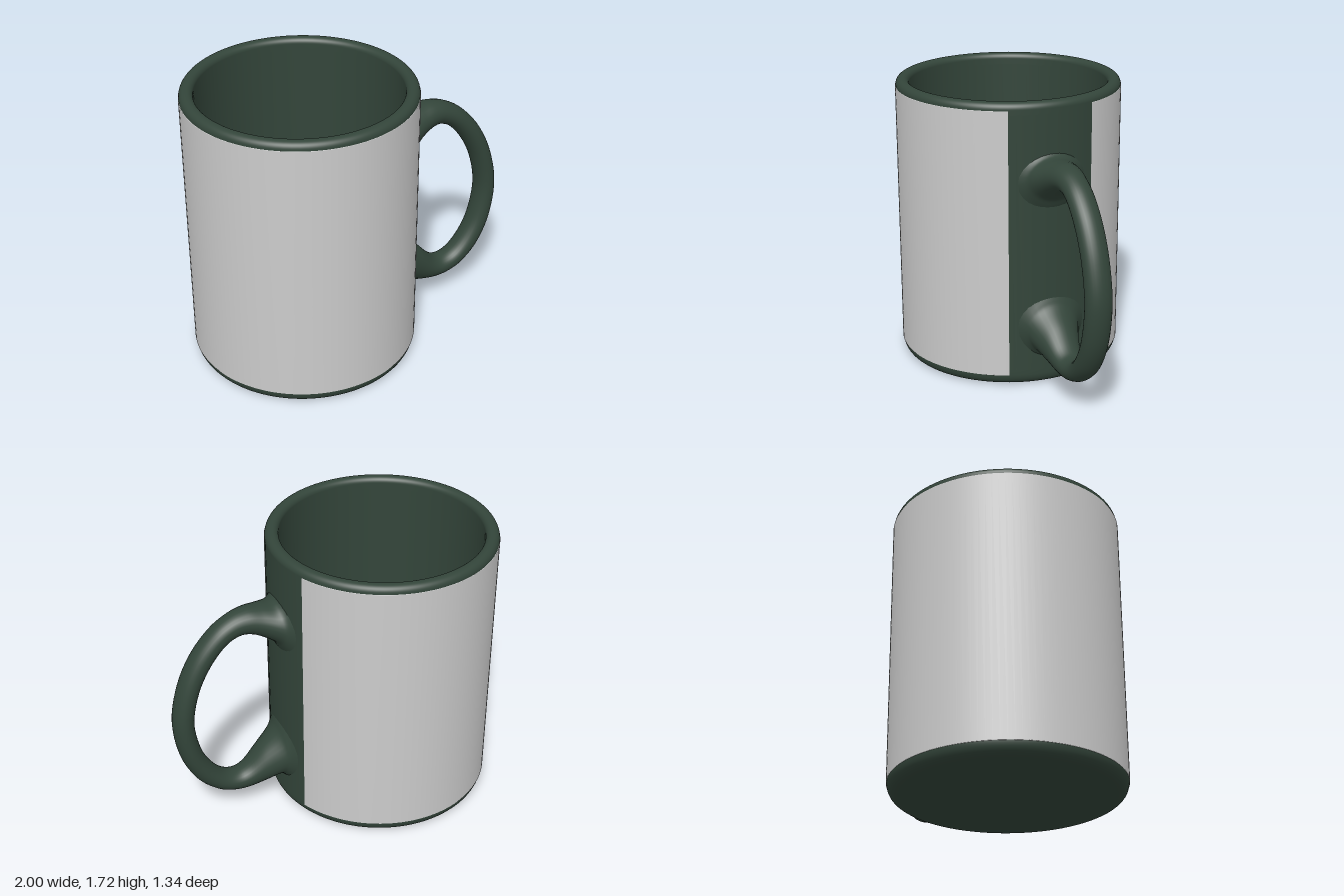
import * as THREE from 'three';

const CX = -0.33, R = 0.667, H = 1.715, RI = 0.588;
const green = new THREE.MeshStandardMaterial({ color: 0x33453a, roughness: 0.6 });
const grey = new THREE.MeshStandardMaterial({ color: 0xcccccc, side: THREE.DoubleSide });

// Hollow cup: underside, outer wall, rounded rim, inner wall, floor
function makeBody() {
  const p = new THREE.Path();
  p.moveTo(0, 0.005);
  p.lineTo(0.55, 0.005);
  p.lineTo(0.6, 0);
  p.quadraticCurveTo(R - 0.005, 0.003, R, 0.07);
  p.lineTo(R, 0.1);
  p.lineTo(R, H - 0.07);
  p.absarc(R - 0.04, H - 0.04, 0.04, 0, Math.PI / 2, false);
  p.absarc(RI + 0.035, H - 0.035, 0.035, Math.PI / 2, Math.PI, false);
  p.lineTo(RI, H - 0.07);
  p.lineTo(RI, 0.14);
  p.absarc(RI - 0.04, 0.12, 0.04, 0, -Math.PI / 2, true);
  p.lineTo(0.5, 0.08);
  p.lineTo(0, 0.08);
  const mesh = new THREE.Mesh(new THREE.LatheGeometry(p.getPoints(8), 96), green);
  mesh.name = 'cupBody';
  mesh.position.x = CX;
  return mesh;
}

// Wrap around the wall, open on the handle side
function makeSleeve() {
  const gap = 0.392, r = R + 0.003;
  const pts = [[r - 0.003, 0.068], [r, 0.07], [r, 1.668], [r - 0.003, 1.67]].map(a => new THREE.Vector2(...a));
  const geo = new THREE.LatheGeometry(pts, 96, Math.PI / 2 + gap, Math.PI * 2 - gap * 2);
  const mesh = new THREE.Mesh(geo, grey);
  mesh.name = 'wrapSleeve';
  mesh.position.x = CX;
  return mesh;
}

// Handle: oval rings lofted between an outer and an inner outline
function makeHandle() {
  // outer x, outer y, inner x, inner y, half width in z
  const stations = [
    [0.30, 1.46, 0.30, 1.03, 0.21],
    [0.335, 1.415, 0.338, 1.10, 0.17],
    [0.37, 1.395, 0.37, 1.155, 0.15],
    [0.44, 1.398, 0.44, 1.205, 0.117],
    [0.53, 1.40, 0.51, 1.238, 0.094],
    [0.63, 1.372, 0.575, 1.243, 0.081],
    [0.74, 1.30, 0.66, 1.20, 0.079],
    [0.86, 1.16, 0.755, 1.085, 0.079],
    [0.95, 0.97, 0.83, 0.93, 0.079],
    [0.995, 0.74, 0.87, 0.73, 0.079],
    [0.965, 0.50, 0.842, 0.535, 0.079],
    [0.88, 0.315, 0.785, 0.405, 0.079],
    [0.77, 0.205, 0.705, 0.31, 0.079],
    [0.67, 0.158, 0.62, 0.28, 0.08],
    [0.57, 0.145, 0.55, 0.31, 0.088],
    [0.46, 0.163, 0.46, 0.405, 0.113],
    [0.37, 0.193, 0.37, 0.485, 0.15],
    [0.335, 0.175, 0.338, 0.54, 0.17],
    [0.30, 0.13, 0.30, 0.62, 0.21],
  ];
  const curve = f => new THREE.CatmullRomCurve3(stations.map(f), false, 'catmullrom', 0.5);
  const outer = curve(s => new THREE.Vector3(s[0], s[1], s[4]));
  const inner = curve(s => new THREE.Vector3(s[2], s[3], s[4]));
  const N = 108, M = 28, pos = [], idx = [];
  for (let i = 0; i <= N; i++) {
    const o = outer.getPoint(i / N), n = inner.getPoint(i / N);
    for (let j = 0; j < M; j++) {
      const a = (j / M) * Math.PI * 2, k = (1 + Math.cos(a)) / 2;
      pos.push(n.x + (o.x - n.x) * k, n.y + (o.y - n.y) * k, o.z * Math.sin(a));
      if (i < N) {
        const p = i * M + j, q = i * M + (j + 1) % M;
        idx.push(p, q, p + M, q, q + M, p + M);
      }
    }
  }
  const geo = new THREE.BufferGeometry();
  geo.setAttribute('position', new THREE.Float32BufferAttribute(pos, 3));
  geo.setIndex(idx);
  geo.computeVertexNormals();
  const mesh = new THREE.Mesh(geo, green);
  mesh.name = 'handle';
  return mesh;
}

export function createModel() {
  const group = new THREE.Group();
  group.name = 'mug';
  group.add(makeBody(), makeSleeve(), makeHandle());
  return group;
}
